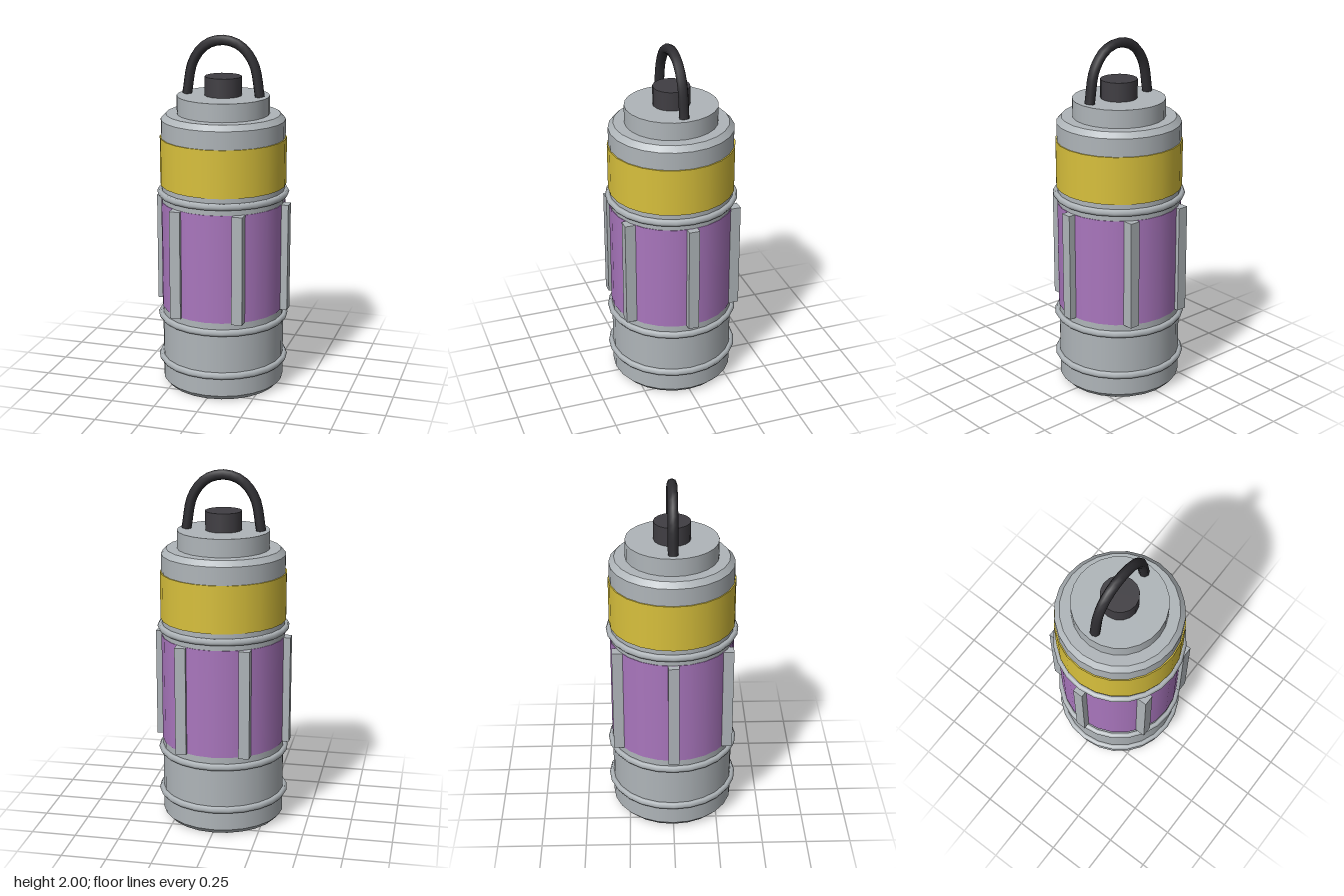
import * as THREE from 'three';

const paint = (name, color) => {
  const m = new THREE.MeshStandardMaterial({ color });
  m.name = name;
  return m;
};

export function createModel() {
  const group = new THREE.Group();
  const grey = paint('greyMetal', 0xafb5b9);
  const yellow = paint('yellowBand', 0xd8c03c);
  const purple = paint('purpleSleeve', 0xa976bd);
  const dark = paint('darkKnob', 0x403e43);
  const black = paint('blackHandle', 0x2e2d31);

  const add = (name, geometry, material, x = 0, y = 0, z = 0) => {
    const mesh = new THREE.Mesh(geometry, material);
    mesh.name = name;
    mesh.position.set(x, y, z);
    group.add(mesh);
    return mesh;
  };

  // Upright cylinder between two heights, open unless capped
  const drum = (name, material, y0, y1, r0, r1 = r0, sides = 24, open = false) =>
    add(name, new THREE.CylinderGeometry(r1, r0, y1 - y0, sides, 1, open), material, 0, (y0 + y1) / 2);

  // Canister with bevelled ends
  drum('bottomBevel', grey, 0, 0.03, 0.317, 0.345);
  drum('body', grey, 0.03, 1.54, 0.345, 0.345, 24, true);
  drum('topBevel', grey, 1.54, 1.57, 0.345, 0.317);

  // Coloured sleeves
  drum('purpleSleeve', purple, 0.465, 1.08, 0.348);
  drum('yellowBand', yellow, 1.175, 1.44, 0.352);

  // Raised rings
  for (const y of [0.155, 0.41, 1.13]) {
    const ring = add('ring', new THREE.TorusGeometry(0.35, 0.02, 6, 24), grey, 0, y);
    ring.rotation.x = Math.PI / 2;
  }

  // Six square ribs, all aligned with the axes
  for (let i = 0; i < 6; i++) {
    const a = (i * Math.PI) / 3;
    add('rib', new THREE.BoxGeometry(0.06, 0.615, 0.06), grey,
      0.353 * Math.cos(a), 0.7725, 0.353 * Math.sin(a));
  }

  // Cap and knob
  drum('cap', grey, 1.57, 1.67, 0.256);
  drum('knob', dark, 1.67, 1.775, 0.102, 0.102, 16);

  // Carrying handle
  const path = new THREE.CatmullRomCurve3([
    [-0.208, 1.67], [-0.172, 1.85], [-0.098, 1.943], [0, 1.972],
    [0.098, 1.943], [0.172, 1.85], [0.208, 1.67],
  ].map(([x, y]) => new THREE.Vector3(x, y, 0)));
  add('handle', new THREE.TubeGeometry(path, 20, 0.028, 8), black);

  return group;
}
